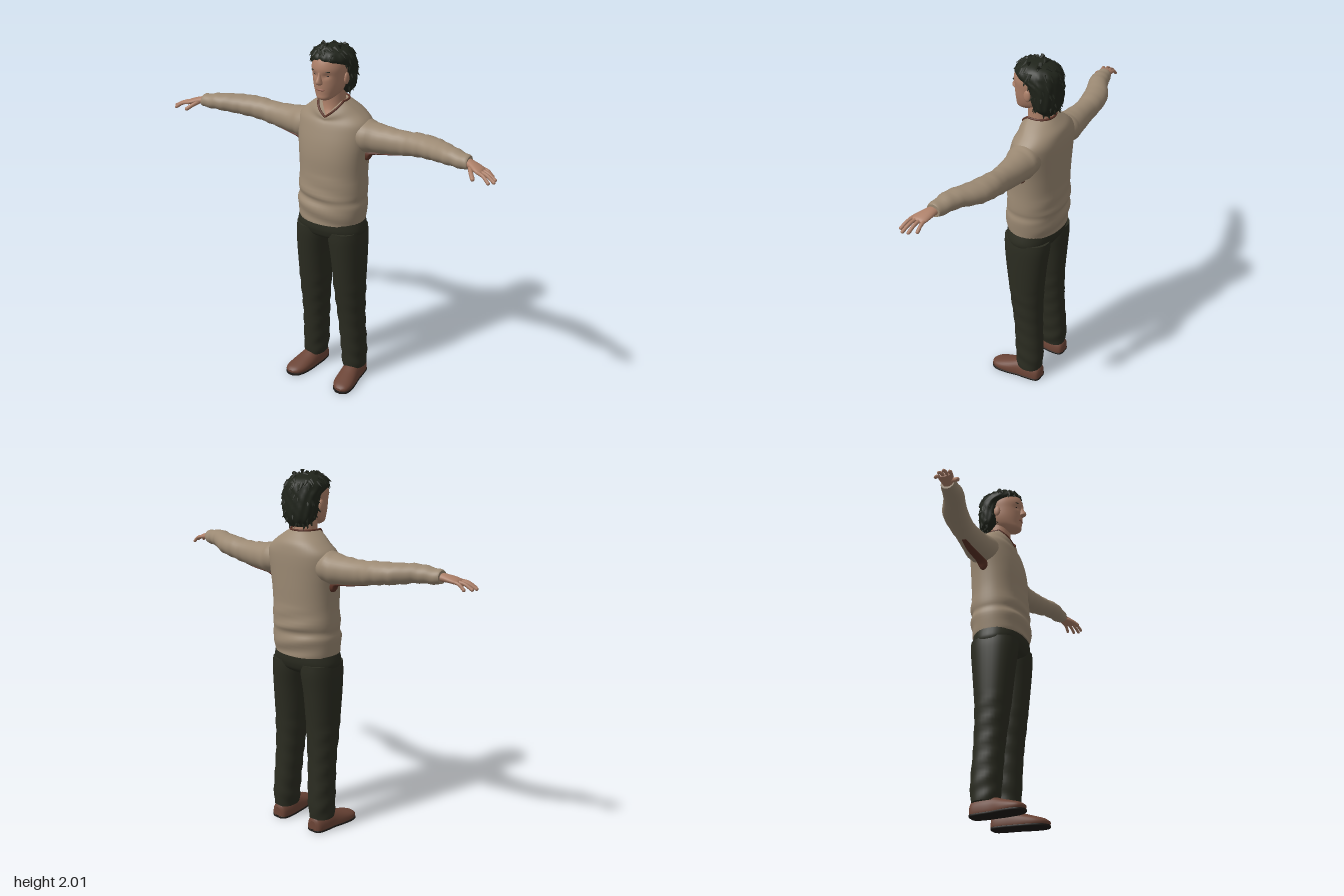
import * as THREE from 'three';
import { mergeGeometries } from 'three/addons/utils/BufferGeometryUtils.js';

const flat = (name, color) => {
  const m = new THREE.MeshStandardMaterial({ color });
  m.name = name;
  return m;
};

// Point on a cross-section row [t, a, b, ra, rb] lying across the given axis.
function ringPoint(row, angle, axis, power) {
  const [t, a, b, ra, rb] = row;
  const bend = v => Math.sign(v) * Math.abs(v) ** (2 / power);
  const p = new THREE.Vector3();
  p.setComponent(axis, t);
  p.setComponent((axis + 1) % 3, a + ra * bend(Math.cos(angle)));
  p.setComponent((axis + 2) % 3, b + rb * bend(Math.sin(angle)));
  return p;
}

// Smooth skin through rows, given in increasing order along axis (0 x, 1 y, 2 z).
function loft(rows, { axis = 1, power = 2, sides = 32, steps = 4, caps = true, tweak } = {}) {
  const fine = [];
  for (let i = 0; i < rows.length - 1; i++) {
    for (let s = 0; s < steps; s++) {
      const t = s / steps;
      const [r0, r1, r2, r3] = [i - 1, i, i + 1, i + 2].map(k => rows[Math.min(Math.max(k, 0), rows.length - 1)]);
      fine.push(r1.map((v, c) => v + 0.5 * t * (r2[c] - r0[c] + t * (2 * r0[c] - 5 * v + 4 * r2[c] - r3[c]
        + t * (3 * (v - r2[c]) + r3[c] - r0[c])))));
    }
  }
  fine.push(rows[rows.length - 1]);
  const pos = [], index = [];
  const rings = fine.map(row => Array.from({ length: sides }, (_, j) => {
    const angle = j / sides * Math.PI * 2;
    const p = ringPoint(row, angle, axis, power);
    if (tweak) tweak(p, angle, row);
    return p;
  }));
  rings.forEach(r => r.forEach(p => pos.push(p.x, p.y, p.z)));
  for (let i = 0; i < rings.length - 1; i++) {
    for (let j = 0; j < sides; j++) {
      const a = i * sides + j, b = i * sides + (j + 1) % sides;
      index.push(a, b, b + sides, a, b + sides, a + sides);
    }
  }
  if (caps) {
    [rings[0], rings[rings.length - 1]].forEach((r, end) => {
      const start = pos.length / 3;
      const mid = r.reduce((m, p) => m.add(p), new THREE.Vector3()).divideScalar(sides);
      [...r, mid].forEach(p => pos.push(p.x, p.y, p.z));
      for (let j = 0; j < sides; j++) {
        const a = start + j, b = start + (j + 1) % sides;
        index.push(start + sides, end ? a : b, end ? b : a);
      }
    });
  }
  const g = new THREE.BufferGeometry();
  g.setAttribute('position', new THREE.Float32BufferAttribute(pos, 3));
  g.setIndex(index);
  g.computeVertexNormals();
  return g;
}

function mirrored(geometry) {
  const g = geometry.clone().scale(-1, 1, 1);
  const ix = g.index.array;
  for (let i = 0; i < ix.length; i += 3) [ix[i], ix[i + 1]] = [ix[i + 1], ix[i]];
  return g;
}

const blob = (x, y, z, rx, ry, rz) => new THREE.SphereGeometry(1, 16, 10).scale(rx, ry, rz).translate(x, y, z);

// Rounded finger along a bent path.
function finger(from, mid, to, r) {
  const path = new THREE.CatmullRomCurve3([from, mid, to].map(p => new THREE.Vector3(...p)));
  return mergeGeometries([new THREE.TubeGeometry(path, 8, r, 10), blob(...to, r, r, r)]);
}

export function createModel() {
  const skin = flat('skin', 0xac7f68), lip = flat('lips', 0x93604f), eyeDark = flat('eyes', 0x2b211c);
  const wool = flat('sweater wool', 0x9b8973), lining = flat('sweater lining', 0x5c3327);
  const cloth = flat('trouser cloth', 0x2b2c21), hairMat = flat('hair', 0x20241b);
  const leather = flat('shoe leather', 0x6b4436), rubber = flat('sole rubber', 0x1f1b18);

  const model = new THREE.Group();
  model.name = 'standingMan';
  const add = (name, geometry, material) => {
    const mesh = new THREE.Mesh(geometry, material);
    mesh.name = name;
    model.add(mesh);
  };
  const pair = (name, geometry, material) => {
    add(name + 'Left', geometry, material);
    add(name + 'Right', mirrored(geometry), material);
  };

  // Sweater body: the last column drops the front of a row to form the V neck
  const dip = (p, angle, row) => {
    const off = Math.min(angle, Math.PI * 2 - angle);
    p.y -= row[5] * Math.max(0, 1 - off / 1.3);
  };
  const collarRow = [1.705, -0.03, 0, 0.085, 0.078, 0.082];
  add('sweaterBody', loft([
    [1.025, -0.02, 0, 0.146, 0.19, 0], [1.05, -0.02, 0, 0.15, 0.193, 0], [1.12, -0.022, 0, 0.158, 0.2, 0],
    [1.16, -0.025, 0, 0.15, 0.193, 0], [1.2, -0.027, 0, 0.155, 0.197, 0], [1.3, -0.03, 0, 0.148, 0.194, 0],
    [1.4, -0.033, 0, 0.148, 0.2, 0], [1.48, -0.04, 0, 0.143, 0.21, 0], [1.55, -0.05, 0, 0.134, 0.217, 0],
    [1.6, -0.055, 0, 0.126, 0.208, 0.015], [1.645, -0.055, 0, 0.115, 0.16, 0.042],
    [1.68, -0.04, 0, 0.1, 0.115, 0.066], collarRow,
  ], {
    power: 2.2, sides: 48, tweak: (p, angle, row) => {
      dip(p, angle, row);
      if (p.y < 1.3) p.z += 0.004 * Math.sin(p.y * 70 + p.x * 12) * Math.cos(angle);
    },
  }), wool);
  const collar = Array.from({ length: 48 }, (_, j) => {
    const angle = j / 48 * Math.PI * 2;
    const p = ringPoint(collarRow, angle, 1, 2.2);
    dip(p, angle, collarRow);
    return p;
  });
  add('collarTrim', new THREE.TubeGeometry(new THREE.CatmullRomCurve3(collar, true), 96, 0.006, 8, true), lining);

  // Sleeves with soft folds, and the lining showing under the arm
  pair('sleeve', loft([
    [0.12, 1.535, -0.05, 0.075, 0.085], [0.2, 1.526, -0.055, 0.086, 0.092], [0.26, 1.521, -0.06, 0.078, 0.08],
    [0.4, 1.525, -0.06, 0.066, 0.062], [0.5, 1.538, -0.055, 0.061, 0.067], [0.6, 1.546, -0.035, 0.056, 0.071],
    [0.7, 1.555, 0.01, 0.049, 0.06], [0.76, 1.553, 0.025, 0.044, 0.051], [0.815, 1.55, 0.036, 0.038, 0.043],
    [0.83, 1.549, 0.038, 0.034, 0.038],
  ], { axis: 0, tweak: p => { p.y += 0.0025 * Math.sin(p.x * 85 + p.z * 25); } }), wool);
  pair('underarmLining', loft([
    [0.185, 1.425, -0.045, 0.034, 0.025], [0.212, 1.425, -0.045, 0.033, 0.025], [0.24, 1.44, -0.05, 0.012, 0.026],
    [0.34, 1.452, -0.06, 0.006, 0.022], [0.43, 1.466, -0.06, 0.004, 0.012],
  ], { axis: 0, sides: 16 }), lining);

  // Hands, palms down
  pair('palm', loft([
    [0.8, 1.55, 0.035, 0.022, 0.028], [0.84, 1.549, 0.044, 0.021, 0.031], [0.88, 1.542, 0.058, 0.018, 0.04],
    [0.91, 1.535, 0.065, 0.014, 0.04], [0.92, 1.532, 0.067, 0.008, 0.032],
  ], { axis: 0, sides: 20 }), skin);
  [[0.034, 0.957, 0.036], [0.055, 0.984, 0.068], [0.075, 0.991, 0.097], [0.094, 0.972, 0.121]].forEach(([z, tip, tipZ], i) => {
    pair('finger' + (i + 1), finger([0.895, 1.537, z], [(0.9 + tip) / 2, 1.53, (z + tipZ) / 2], [tip, 1.506, tipZ], 0.009), skin);
  });
  pair('thumb', finger([0.845, 1.545, 0.06], [0.868, 1.53, 0.098], [0.892, 1.51, 0.125], 0.011), skin);

  // Trousers
  add('trouserSeat', loft([
    [0.915, -0.02, 0, 0.08, 0.15], [0.94, -0.018, 0, 0.118, 0.188], [0.97, -0.018, 0, 0.133, 0.202],
    [1.0, -0.018, 0, 0.139, 0.2], [1.05, -0.02, 0, 0.138, 0.185],
  ], { power: 2.3, sides: 40 }), cloth);
  pair('trouserLeg', loft([
    [0.075, -0.05, 0.135, 0.074, 0.064], [0.12, -0.05, 0.134, 0.08, 0.068], [0.2, -0.048, 0.131, 0.083, 0.07],
    [0.4, -0.035, 0.122, 0.085, 0.074], [0.6, -0.022, 0.116, 0.098, 0.085], [0.8, -0.018, 0.112, 0.118, 0.093],
    [0.92, -0.018, 0.104, 0.131, 0.1], [0.98, -0.018, 0.1, 0.132, 0.098],
  ], {
    power: 2.2, steps: 8,
    tweak: (p, angle) => { if (p.y < 0.65) p.x += 0.003 * Math.sin(p.y * 60 + angle * 2); },
  }), cloth);

  // Shoes, soles and ankles: z, x, half width, top height
  const foot = [
    [-0.13, 0.135, 0.025, 0.065], [-0.115, 0.135, 0.046, 0.088], [-0.06, 0.137, 0.055, 0.1], [0, 0.142, 0.056, 0.098],
    [0.06, 0.151, 0.06, 0.078], [0.12, 0.16, 0.058, 0.06], [0.16, 0.166, 0.044, 0.047], [0.18, 0.168, 0.018, 0.033],
  ];
  pair('shoe', loft(foot.map(([z, x, w, h]) => [z, x, 0.025, w, h - 0.025]), {
    axis: 2, power: 2.2, tweak: p => { p.y = Math.max(p.y, 0.01); },
  }), leather);
  pair('sole', loft(foot.map(([z, x, w]) => [z, x, 0.007, w + 0.002, 0.007]), { axis: 2, power: 6 }), rubber);
  pair('ankle', new THREE.CylinderGeometry(0.042, 0.042, 0.08, 20).translate(0.135, 0.09, -0.025), skin);

  // Neck and head, with hollow eye sockets
  add('neck', loft([
    [1.56, -0.02, 0, 0.06, 0.06], [1.62, -0.03, 0, 0.078, 0.07], [1.66, -0.036, 0, 0.07, 0.064],
    [1.7, -0.036, 0, 0.066, 0.06], [1.77, -0.03, 0, 0.065, 0.058],
  ]), skin);
  add('head', loft([
    [1.722, 0.05, 0, 0.03, 0.025], [1.735, 0.046, 0, 0.053, 0.045], [1.76, 0.015, 0, 0.086, 0.066],
    [1.8, 0.003, 0, 0.101, 0.081], [1.85, 0.002, 0, 0.104, 0.088], [1.9, 0, 0, 0.11, 0.092],
    [1.95, -0.01, 0, 0.1, 0.08], [1.98, -0.015, 0, 0.06, 0.045],
  ], {
    sides: 48, steps: 6, tweak: p => {
      const dx = (Math.abs(p.x) - 0.035) / 0.016, dy = (p.y - 1.86) / 0.013;
      if (p.z > 0) p.z -= 0.009 * Math.exp(-dx * dx - dy * dy);
    },
  }), skin);
  add('nose', loft([
    [1.812, 0.102, 0, 0.012, 0.01], [1.82, 0.108, 0, 0.022, 0.018], [1.834, 0.106, 0, 0.027, 0.015],
    [1.86, 0.098, 0, 0.019, 0.01], [1.888, 0.094, 0, 0.013, 0.009],
  ], { sides: 20 }), skin);
  add('mouth', blob(0, 1.784, 0.098, 0.026, 0.007, 0.01), lip);
  pair('eye', blob(0.035, 1.86, 0.084, 0.012, 0.004, 0.008), eyeDark);
  pair('eyebrow', blob(0.037, 1.884, 0.094, 0.019, 0.003, 0.008), hairMat);
  pair('ear', blob(0.09, 1.832, -0.012, 0.011, 0.032, 0.02), skin);

  // Wavy hair covering the crown, sides and nape
  const hair = loft([
    [1.725, -0.092, 0, 0.032, 0.05], [1.76, -0.082, 0, 0.062, 0.09], [1.8, -0.077, 0, 0.075, 0.102],
    [1.85, -0.075, 0, 0.077, 0.107], [1.895, -0.062, 0, 0.088, 0.11], [1.925, -0.03, 0, 0.118, 0.11],
    [1.95, -0.022, 0, 0.118, 0.103], [1.975, -0.018, 0, 0.094, 0.082], [1.99, -0.012, 0, 0.055, 0.048],
    [1.995, -0.01, 0, 0.02, 0.018],
  ], {
    power: 2.1, sides: 64, tweak: (p, angle) => {
      const wave = 1 + 0.03 * Math.sin(angle * 13 + p.y * 40) * Math.sin(p.y * 70);
      p.x *= wave;
      p.z = (p.z + 0.05) * wave - 0.05;
    },
  });
  add('hair', hair, hairMat);

  // Loose locks scattered over the hair
  let seed = 7;
  const random = () => (seed = (seed * 16807) % 2147483647) / 2147483647;
  const { position, normal } = hair.attributes;
  const up = new THREE.Vector3(0, 1, 0);
  const locks = [];
  for (let i = 0; i < 110; i++) {
    const k = Math.floor(random() * 64 * 34);
    const p = new THREE.Vector3().fromBufferAttribute(position, k);
    const dir = new THREE.Vector3().fromBufferAttribute(normal, k).multiplyScalar(0.55);
    dir.y -= 0.6;
    dir.x += (random() - 0.5) * 0.6;
    const turn = new THREE.Quaternion().setFromUnitVectors(up, dir.normalize());
    locks.push(new THREE.ConeGeometry(0.012, 0.04, 6).applyQuaternion(turn).translate(p.x, p.y, p.z));
  }
  add('hairLocks', mergeGeometries(locks), hairMat);

  return model;
}
